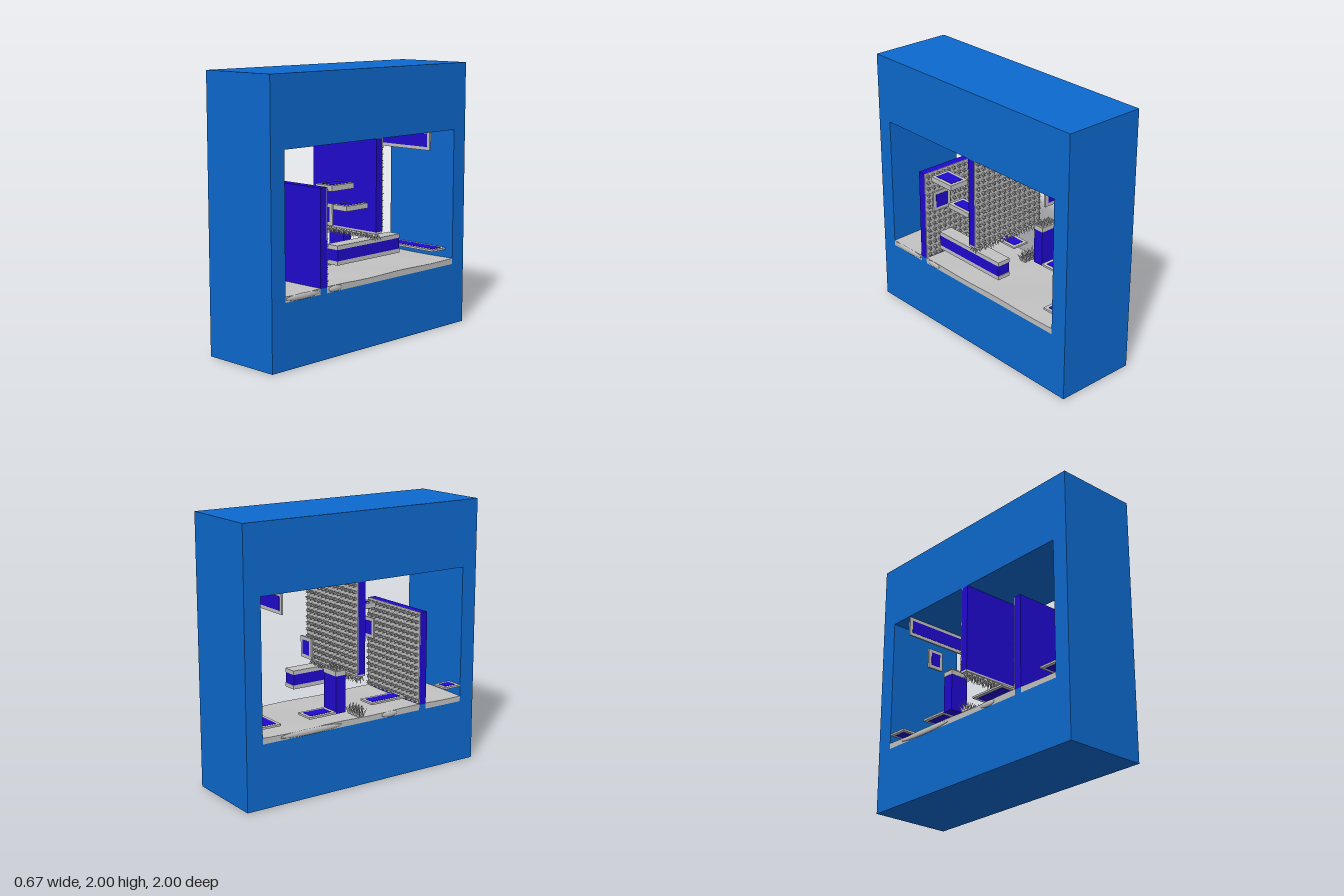
import * as THREE from 'three';
import { mergeGeometries } from 'three/addons/utils/BufferGeometryUtils.js';

const mat = (name, color) => Object.assign(new THREE.MeshStandardMaterial({ color }), { name });

export function createModel() {
  const root = new THREE.Group();
  const frameBlue = mat('frame blue', 0x0d69cf);
  const deepBlue = mat('deep blue', 0x2009d0);
  const grey = mat('light grey', 0xc2c2c2);
  const X0 = -0.32, X1 = 0.315;

  const add = (name, geometry, material) => {
    const mesh = new THREE.Mesh(geometry, material);
    mesh.name = name;
    root.add(mesh);
    return mesh;
  };
  // Box from its minimum and maximum on each axis
  const box = (name, material, [x0, x1], [y0, y1], [z0, z1]) => {
    const mesh = add(name, new THREE.BoxGeometry(x1 - x0, y1 - y0, z1 - z0), material);
    mesh.position.set((x0 + x1) / 2, (y0 + y1) / 2, (z0 + z1) / 2);
    return mesh;
  };
  // Grey plate with a blue inlay on both faces across its thin axis
  const plate = (name, x, y, z, axis) => {
    box(name, grey, x, y, z);
    const inlay = [x, y, z].map(([a, b], i) => i === axis ? [a - 0.002, b + 0.002] : [a + 0.025, b - 0.025]);
    box(name + 'Inlay', deepBlue, ...inlay);
  };

  // Outer block with a rectangular opening through it
  const shape = new THREE.Shape([[-1, 0], [1, 0], [1, 2], [-1, 2]].map(p => new THREE.Vector2(...p)));
  shape.holes.push(new THREE.Path([[-0.87, 0.47], [-0.87, 1.5], [0.875, 1.5], [0.875, 0.47]].map(p => new THREE.Vector2(...p))));
  const frame = new THREE.ExtrudeGeometry(shape, { depth: X1 - X0, bevelEnabled: false });
  frame.rotateY(-Math.PI / 2).translate(X1, 0, 0);
  add('outerFrame', frame, frameBlue);

  // Uneven floor, split by the front wall
  const floor = (name, z0, z1) => {
    const g = new THREE.BoxGeometry(X1 - X0, 0.045, z1 - z0, 10, 1, Math.ceil((z1 - z0) * 20));
    g.translate((X0 + X1) / 2, 0.4925, (z0 + z1) / 2);
    const p = g.attributes.position;
    for (let i = 0; i < p.count; i++) {
      if (p.getY(i) > 0.5) p.setY(i, 0.513 + 0.005 * Math.sin(p.getZ(i) * 9 + 1) * Math.cos(p.getX(i) * 7));
    }
    g.computeVertexNormals();
    add(name, g, grey);
  };
  floor('floor', -0.87, 0.485);
  floor('frontFloor', 0.545, 0.875);

  // Soft drifts bulging over the floor edges: x, z, half length
  [[X1, 0.71, 0.16], [X1, 0.4, 0.065], [X0, -0.47, 0.26], [X0, 0.21, 0.07]].forEach(([x, z, half]) => {
    const drift = add('floorDrift', new THREE.SphereGeometry(1, 20, 12), grey);
    drift.scale.set(0.011, 0.022, half);
    drift.position.set(x, 0.492, z);
  });

  // Two tall walls
  box('wallFooting', frameBlue, [X0, X1], [0.47, 0.51], [0.485, 0.545]);
  box('frontWall', deepBlue, [X0, X1], [0.51, 1.21], [0.485, 0.545]);
  box('middleWall', deepBlue, [X0, X1], [0.83, 1.5], [-0.072, -0.012]);

  // Tufts of slim spikes fanning out along a direction
  const up = new THREE.Vector3(0, 1, 0);
  const spikes = (name, centres, direction, height, radius) => {
    const parts = [];
    const q = new THREE.Quaternion().setFromUnitVectors(up, direction);
    centres.forEach((c, n) => {
      [[0, 0], [0.5, 0.25], [-0.5, -0.25], [0.25, -0.5], [-0.25, 0.5]].forEach(([a, b], k) => {
        const h = height * (k ? 0.85 : 1) * (1 - 0.12 * ((n * 7 + k * 3) % 4) / 3);
        const g = new THREE.ConeGeometry(radius, h, 4, 1, true).toNonIndexed();
        g.translate(0, h / 2, 0).rotateX(a).rotateZ(b).applyQuaternion(q).translate(...c);
        g.computeVertexNormals();
        parts.push(g);
      });
    });
    add(name, mergeGeometries(parts), grey);
  };
  const grid = (cols, rows, place) => {
    const list = [];
    for (let r = 0; r < rows; r++) for (let c = 0; c < cols; c++) list.push(place((c + 0.5) / cols, (r + 0.5) / rows));
    return list;
  };
  const lerp = THREE.MathUtils.lerp;
  const back = new THREE.Vector3(0, 0, -1);
  [['frontWall', 0.52, 1.21, 0.485], ['middleWall', 0.83, 1.5, -0.072]].forEach(([name, y0, y1, z]) => {
    box(name + 'SpikeBacking', grey, [X0, X1], [y0, y1], [z - 0.006, z]);
    spikes(name + 'Spikes', grid(13, 14, (u, v) => [lerp(X0, X1, u), lerp(y0, y1, v), z - 0.003]), back, 0.04, 0.013);
  });

  // Spikes hanging under the middle wall and rising from the floor
  box('hangingSpikeBase', grey, [X0, X1], [0.815, 0.83], [-0.072, -0.012]);
  spikes('hangingSpikes', grid(12, 2, (u, v) => [lerp(-0.31, 0.305, u), 0.82, lerp(-0.072, -0.012, v)]),
    new THREE.Vector3(0, -1, 0), 0.075, 0.011);
  spikes('floorSpikes', grid(4, 2, (u, v) => [lerp(X0, -0.18, u), 0.51, lerp(-0.07, -0.01, v)]), up, 0.1, 0.012);

  // Floating pillar with a spiked cap
  box('pillar', deepBlue, [-0.315, -0.17], [0.575, 0.85], [-0.262, -0.178]);
  box('pillarCap', grey, [-0.317, -0.168], [0.85, 0.885], [-0.264, -0.176]);
  spikes('pillarSpikes', grid(4, 3, (u, v) => [lerp(-0.315, -0.17, u), 0.88, lerp(-0.262, -0.178, v)]), up, 0.035, 0.011);

  // Long beam in three layers
  box('beamCore', deepBlue, [0.18, 0.288], [0.67, 0.75], [-0.29, 0.35]);
  box('beamTop', grey, [0.18, 0.288], [0.75, 0.78], [-0.295, 0.353]);
  box('beamBottom', grey, [0.18, 0.288], [0.64, 0.67], [-0.295, 0.353]);

  // Floating steps
  plate('upperStep', [0.14, 0.3], [1.17, 1.21], [0.2, 0.418], 1);
  plate('lowerStep', [0.14, 0.28], [1.008, 1.045], [0.035, 0.253], 1);

  // Thin platforms above the floor
  const low = [0.585, 0.599];
  plate('frontPlatform', [-0.318, -0.19], low, [0.73, 0.874], 1);
  plate('middlePlatform', [-0.318, -0.18], low, [0.05, 0.355], 1);
  plate('pillarPlatform', [-0.318, -0.17], [0.575, 0.59], [-0.485, -0.262], 1);
  plate('backPlatform', [-0.318, 0.25], [0.575, 0.59], [-0.869, -0.72], 1);

  // Upright panels
  plate('frontPanel', [0.14, 0.3], [0.93, 1.085], [0.402, 0.416], 2);
  plate('middlePanel', [-0.31, -0.18], [1.0, 1.15], [-0.464, -0.45], 2);
  plate('hangingPanel', [-0.31, 0.23], [1.35, 1.5], [-0.702, -0.688], 2);

  return root;
}
